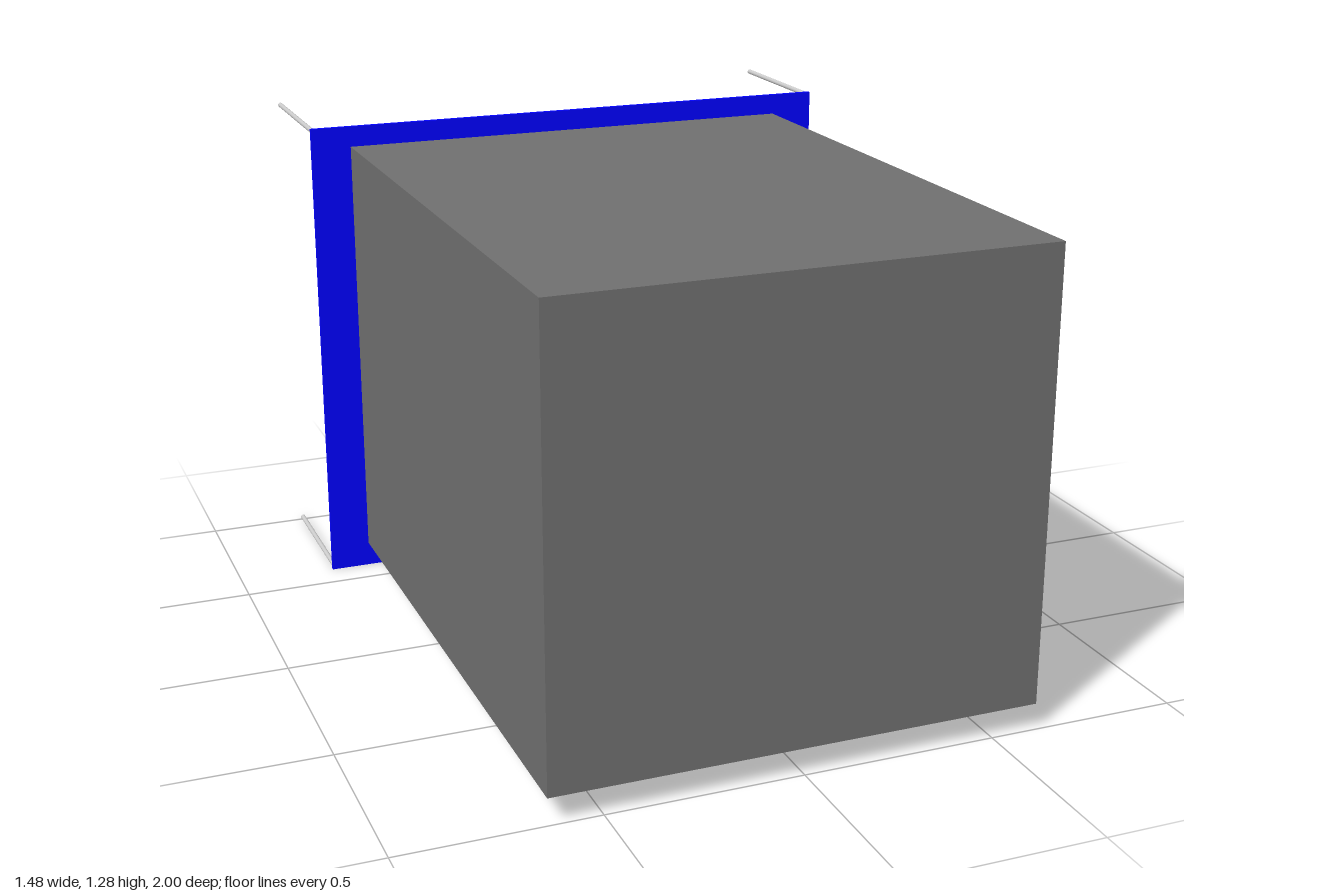
import * as THREE from 'three';

export function createModel() {
  const group = new THREE.Group();
  const paint = (color) => new THREE.MeshStandardMaterial({ color });
  const grey = paint(0x707070), blue = paint(0x0000ff), metal = paint(0xcccccc);

  function add(name, geometry, material, x, y, z) {
    const mesh = new THREE.Mesh(geometry, material);
    mesh.name = name;
    mesh.position.set(x, y, z);
    group.add(mesh);
  }

  // Main block, slightly off centre in front of the panel
  add('block', new THREE.BoxGeometry(1.253, 1.157, 1.58), grey, -0.008, 0.648, 0.21);

  // Thin backing panel
  add('backPanel', new THREE.BoxGeometry(1.48, 1.28, 0.012), blue, 0, 0.64, -0.593);

  // Four rods reaching back from the panel corners
  const rod = new THREE.CylinderGeometry(0.0065, 0.0065, 0.402, 16).rotateX(Math.PI / 2);
  for (const [side, x] of [['left', 0.733], ['right', -0.733]]) {
    for (const [level, y] of [['Lower', 0.0075], ['Upper', 1.2725]]) {
      add(`${side}${level}Rod`, rod, metal, x, y, -0.799);
    }
  }

  return group;
}
